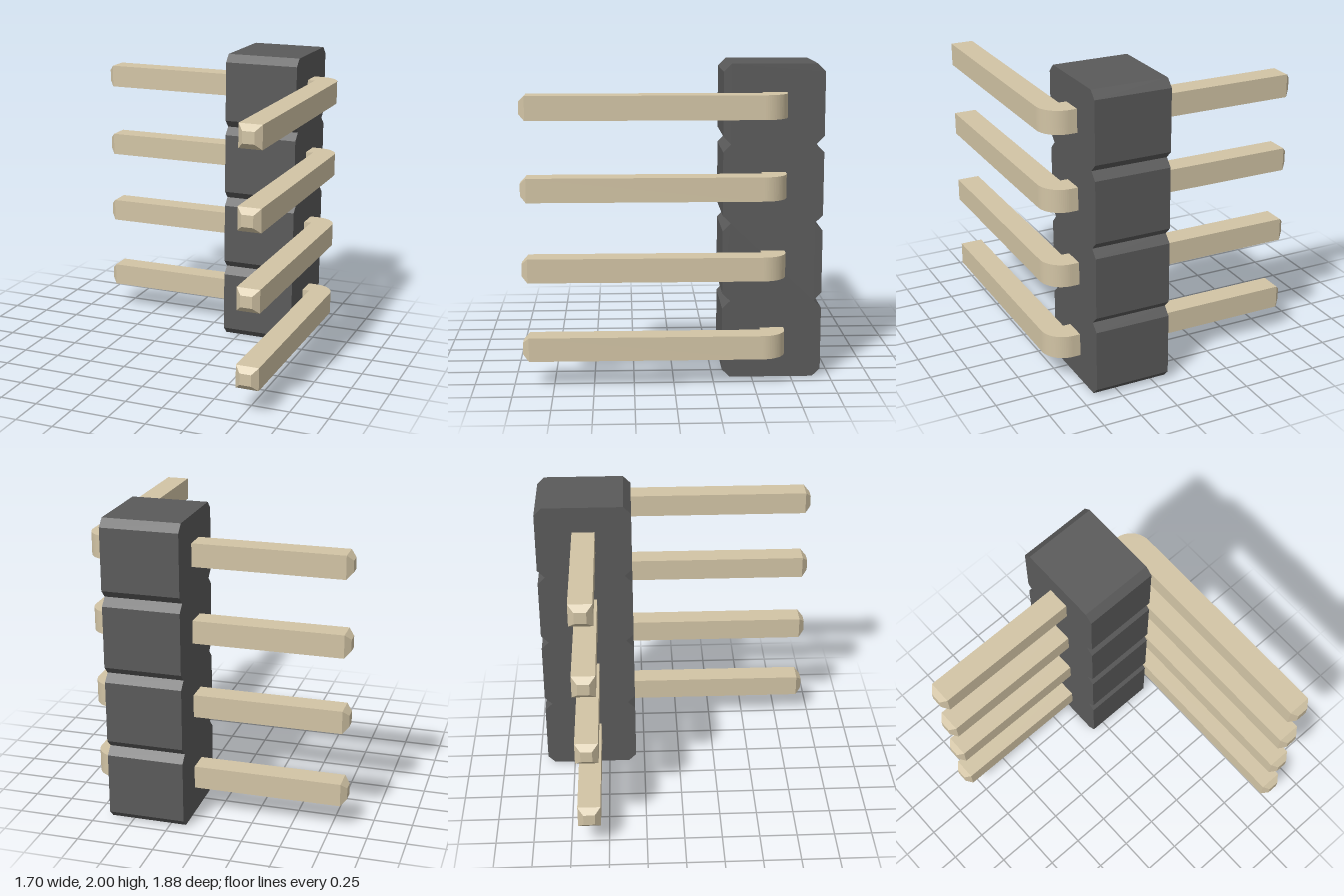
import * as THREE from 'three';

const COUNT = 4, PITCH = 0.5;
const PIN = 0.15, TIP = 0.0375;       // pin thickness, length of its tapered end
const PIN_X = 0.775, PIN_Z = -0.625;  // centre lines of the two pin legs
const BEND_X = 0.7, BEND_Z = -0.55;   // inner corner of the bend

const plastic = new THREE.MeshStandardMaterial({ color: 0x5a5a5a, flatShading: true });
const metal = new THREE.MeshStandardMaterial({ color: 0xd2c4a5, flatShading: true });

// Chamfered block profile, repeated up the height and extruded along x
function housingGeometry() {
  const near = 0.31, far = 0.94, c = 0.05;
  const front = [], back = [];
  for (let i = 0; i < COUNT; i++) {
    const y0 = i * PITCH, y1 = y0 + PITCH;
    for (const [inset, y] of [[c, y0], [0, y0 + c], [0, y1 - c], [c, y1]]) {
      if (i > 0 && y === y0) continue; // shared notch point
      front.push(new THREE.Vector2(near + inset, y));
      back.unshift(new THREE.Vector2(far - inset, y));
    }
  }
  const geo = new THREE.ExtrudeGeometry(new THREE.Shape([...front, ...back]), { depth: 0.5, bevelEnabled: false });
  return geo.rotateY(Math.PI / 2).translate(0.15, 0, 0);
}

// L-shaped pin outline with a rounded outer corner, extruded upwards
function pinGeometry() {
  const endX = -0.85 + TIP, endZ = 0.94 - TIP;
  const s = new THREE.Shape();
  s.moveTo(endX, -BEND_Z);
  s.lineTo(BEND_X, -BEND_Z);
  s.lineTo(BEND_X, -endZ);
  s.lineTo(BEND_X + PIN, -endZ);
  s.lineTo(BEND_X + PIN, -BEND_Z);
  s.absarc(BEND_X, -BEND_Z, PIN, 0, Math.PI / 2, false);
  s.lineTo(endX, -BEND_Z + PIN);
  s.closePath();
  const geo = new THREE.ExtrudeGeometry(s, { depth: PIN, bevelEnabled: false, curveSegments: 10 });
  return geo.rotateX(-Math.PI / 2).translate(0, -PIN / 2, 0);
}

// Square frustum for the pin ends, pointing up
function tipGeometry() {
  const r = PIN / 2 * Math.SQRT2;
  return new THREE.CylinderGeometry(r / 2, r, TIP, 4).rotateY(Math.PI / 4);
}

export function createModel() {
  const model = new THREE.Group();
  const add = (parent, name, geo, mat) => {
    const mesh = new THREE.Mesh(geo, mat);
    mesh.name = name;
    parent.add(mesh);
  };
  add(model, 'housing', housingGeometry(), plastic);

  const body = pinGeometry();
  const sideTip = tipGeometry().rotateZ(Math.PI / 2).translate(-0.85 + TIP / 2, 0, PIN_Z);
  const frontTip = tipGeometry().rotateX(Math.PI / 2).translate(PIN_X, 0, 0.94 - TIP / 2);
  for (let i = 0; i < COUNT; i++) {
    const pin = new THREE.Group();
    pin.name = `pin${i + 1}`;
    pin.position.y = (i + 0.5) * PITCH;
    add(pin, 'bentPin', body, metal);
    add(pin, 'sideTip', sideTip, metal);
    add(pin, 'frontTip', frontTip, metal);
    model.add(pin);
  }
  return model;
}
